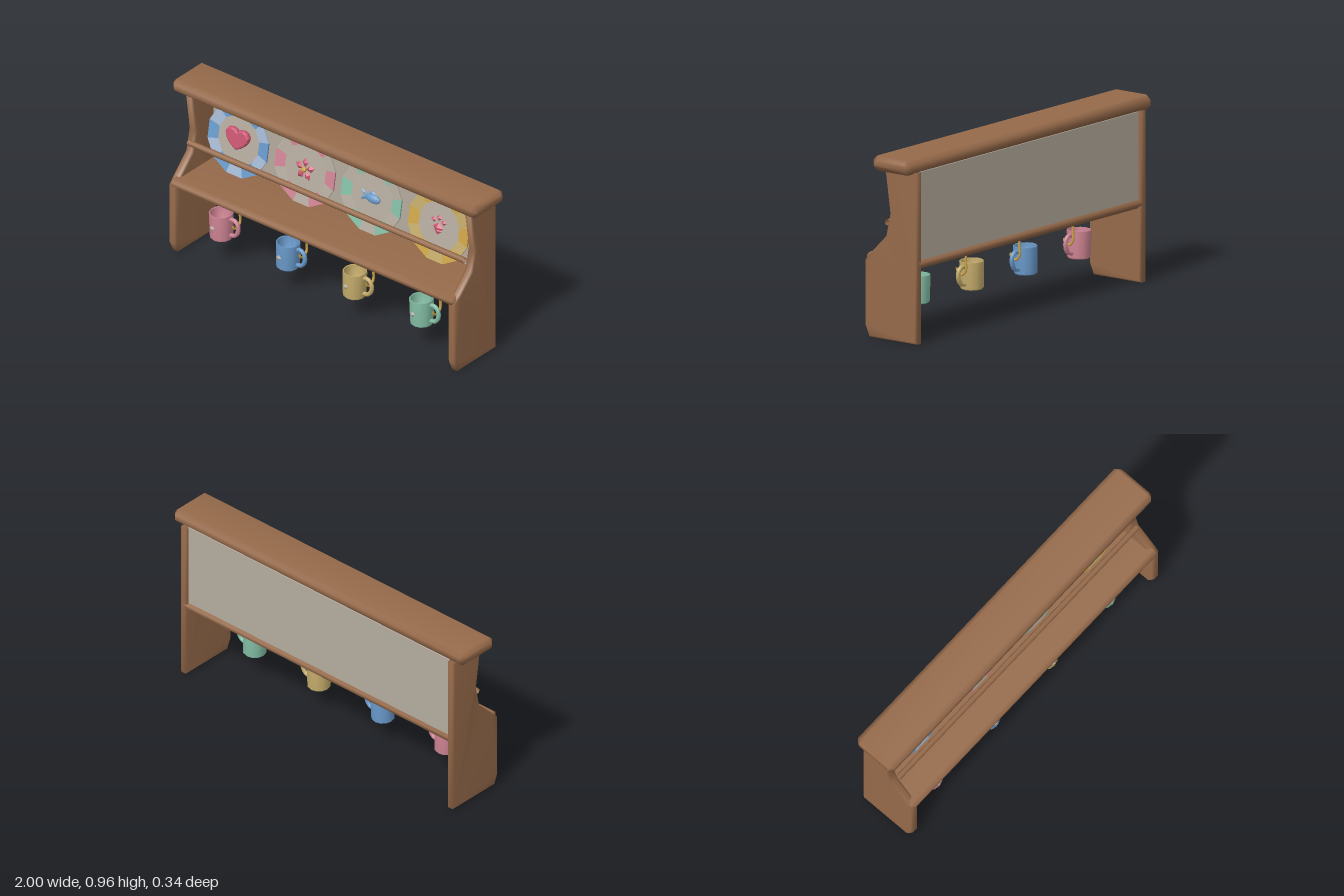
import * as THREE from 'three';
import { mergeVertices } from 'three/addons/utils/BufferGeometryUtils.js';

const mat = (name, color, extra = {}) => {
  const m = new THREE.MeshStandardMaterial({ color, ...extra });
  m.name = name;
  return m;
};

export function createModel() {
  const wood = mat('wood', 0x966a4a, { side: THREE.DoubleSide });
  const cream = mat('cream', 0xb5ac9f);
  const blue = mat('blue', 0x6a9bcd);
  const paleBlue = mat('pale blue', 0xa6bbd6);
  const pink = mat('pink', 0xd08494);
  const green = mat('green', 0x84bfa6);
  const gold = mat('gold', 0xcda548);
  const tan = mat('tan', 0xc6ad6c);
  const rose = mat('rose', 0xcb5672);

  const root = new THREE.Group();
  root.name = 'plateRack';
  const group = (parent, name, x = 0, y = 0, z = 0) => {
    const g = new THREE.Group();
    g.name = name;
    g.position.set(x, y, z);
    parent.add(g);
    return g;
  };
  const add = (parent, name, geo, material, x = 0, y = 0, z = 0) => {
    const m = new THREE.Mesh(geo, material);
    m.name = name;
    m.position.set(x, y, z);
    parent.add(m);
    return m;
  };

  // Smooth, area-weighted normals soften the chamfers
  const soften = (geo) => {
    geo.deleteAttribute('normal');
    geo.deleteAttribute('uv');
    const g = mergeVertices(geo, 1e-4);
    g.computeVertexNormals();
    return g;
  };
  // Outline in (z, y), extruded along x with chamfered edges
  const slab = (points, width, bevel) => {
    const shape = new THREE.Shape(points.map(([z, y]) => new THREE.Vector2(z, y)));
    const geo = new THREE.ExtrudeGeometry(shape, {
      depth: width - 2 * bevel, bevelEnabled: true, bevelSize: bevel,
      bevelThickness: bevel, bevelOffset: -bevel, bevelSegments: 1,
    });
    geo.translate(0, 0, -(width / 2 - bevel));
    geo.rotateY(-Math.PI / 2);
    return soften(geo);
  };
  const octagon = (z0, z1, y0, y1, cz, cy) => [
    [z0 + cz, y0], [z1 - cz, y0], [z1, y0 + cy], [z1, y1 - cy],
    [z1 - cz, y1], [z0 + cz, y1], [z0, y1 - cy], [z0, y0 + cy],
  ];

  // Frame
  add(root, 'topBoard', slab(octagon(-0.17, 0.08, 0.885, 0.965, 0.027, 0.024), 2, 0.022), wood);
  add(root, 'shelf', slab(octagon(-0.17, 0.17, 0.385, 0.44, 0.022, 0.018), 1.87, 0.016), wood);
  const sideOutline = [
    [-0.17, 0], [0.14, 0], [0.166, 0.06], [0.166, 0.4], [0.125, 0.445],
    [0.03, 0.54], [0.004, 0.66], [0.036, 0.893], [-0.17, 0.893],
  ];
  for (const s of [-1, 1]) {
    add(root, s > 0 ? 'leftSide' : 'rightSide', slab(sideOutline, 0.05, 0.01), wood, s * 0.92);
  }
  add(root, 'backPanel', new THREE.BoxGeometry(1.8, 0.46, 0.02), cream, 0, 0.662, -0.148);
  const rail = new THREE.CylinderGeometry(0.016, 0.016, 1.82, 8, 1, true);
  rail.rotateZ(Math.PI / 2);
  add(root, 'plateRail', rail, wood, 0, 0.605, 0.045);

  // Plates: a twelve-sided dish with a rim of alternating painted panels
  const lathe = (pts, seg, start = 0, len = Math.PI * 2) => {
    const geo = new THREE.LatheGeometry(pts.map(([r, y]) => new THREE.Vector2(r, y)), seg, start, len)
      .toNonIndexed();
    geo.computeVertexNormals();
    return geo;
  };
  const step = Math.PI / 6;
  const makePlate = (name, x, colorA, colorB) => {
    const plate = group(root, name, x, 0.668, -0.055);
    plate.rotation.x = -0.17;
    const body = lathe([[0, -0.012], [0.13, -0.012], [0.2, 0], [0.2, 0.006], [0.135, 0], [0, 0]], 12);
    body.rotateX(Math.PI / 2).rotateZ(step * 0.5);
    add(plate, 'dish', body, cream);
    for (let i = 0; i < 12; i++) {
      const panel = lathe([[0.2, -0.001], [0.201, 0.008], [0.135, 0.002]], 1, (i - 0.5) * step, step);
      panel.rotateX(Math.PI / 2).rotateZ(Math.PI / 2);
      add(plate, 'rimPanel', panel, i % 2 ? colorB : colorA);
    }
    return group(plate, 'emblem', 0, 0, 0.008);
  };
  const gem = (parent, name, material, x, y, sx, sy, sz, turn = 0) => {
    const geo = new THREE.OctahedronGeometry(1);
    geo.scale(sx, sy, sz);
    add(parent, name, geo, material, x, y, 0).rotation.z = turn;
  };

  // Heart emblem
  const heartPlate = makePlate('heartPlate', -0.66, blue, paleBlue);
  const h = new THREE.Shape();
  h.moveTo(0, -0.044);
  h.bezierCurveTo(-0.03, -0.03, -0.068, 0.0, -0.066, 0.03);
  h.bezierCurveTo(-0.06, 0.06, -0.015, 0.06, 0, 0.034);
  h.bezierCurveTo(0.015, 0.06, 0.06, 0.06, 0.066, 0.03);
  h.bezierCurveTo(0.068, 0.0, 0.03, -0.03, 0, -0.044);
  add(heartPlate, 'heart', new THREE.ExtrudeGeometry(h, {
    depth: 0.008, bevelEnabled: true, bevelSize: 0.01, bevelThickness: 0.012,
    bevelSegments: 2, curveSegments: 4,
  }), rose, 0, 0.006, 0);

  // Flower emblem
  const flowerPlate = makePlate('flowerPlate', -0.22, pink, cream);
  for (let i = 0; i < 5; i++) {
    const a = Math.PI / 2 + (i * Math.PI * 2) / 5;
    gem(flowerPlate, 'petal', rose, Math.cos(a) * 0.038, Math.sin(a) * 0.038, 0.028, 0.02, 0.014, a);
  }
  add(flowerPlate, 'flowerCentre', new THREE.IcosahedronGeometry(0.017), gold, 0, 0, 0.008);

  // Fish emblem
  const fishPlate = makePlate('fishPlate', 0.217, green, cream);
  const fishBody = new THREE.SphereGeometry(1, 8, 6);
  fishBody.rotateZ(Math.PI / 2).scale(0.05, 0.027, 0.016);
  add(fishPlate, 'fishBody', fishBody, blue, 0.014, 0, 0.004);
  for (const s of [-1, 1]) gem(fishPlate, 'tailFin', blue, -0.047, s * 0.014, 0.026, 0.01, 0.008, -s * 0.7);
  gem(fishPlate, 'backFin', blue, 0.008, 0.026, 0.022, 0.011, 0.007, -0.2);
  add(fishPlate, 'fishEye', new THREE.IcosahedronGeometry(0.005), cream, 0.042, 0.006, 0.014);

  // Paw emblem
  const pawPlate = makePlate('pawPlate', 0.66, gold, tan);
  gem(pawPlate, 'pawPad', rose, 0, -0.006, 0.036, 0.027, 0.014);
  gem(pawPlate, 'pawPad', rose, 0, -0.024, 0.024, 0.022, 0.012);
  for (const [x, y] of [[-0.033, 0.03], [0, 0.047], [0.033, 0.03]]) {
    gem(pawPlate, 'pawToe', rose, x, y, 0.017, 0.017, 0.012);
  }

  // Mugs hanging from hooks below the shelf
  const curve = (pts) => new THREE.CatmullRomCurve3(pts.map((p) => new THREE.Vector3(...p)));
  const hookPath = curve([
    [0, 0.19, -0.035], [0, 0.1, -0.035], [0, 0.045, -0.035], [0, 0.022, -0.012],
    [0, 0.03, 0.016], [0, 0.055, 0.022],
  ]);
  const handlePath = curve([
    [0.055, 0.05, 0], [0.085, 0.053, 0], [0.108, 0.035, 0],
    [0.11, -0.005, 0], [0.09, -0.035, 0], [0.055, -0.042, 0],
  ]);
  const mugProfile = [
    [0, -0.074], [0.054, -0.074], [0.061, -0.066], [0.064, 0.07], [0.061, 0.074],
    [0.055, 0.07], [0.052, -0.06], [0, -0.06],
  ].map(([r, y]) => new THREE.Vector2(r, y));
  [
    [-0.682, 0.212, pink, 'pinkMug', 0.02], [-0.243, 0.207, blue, 'blueMug', -0.02],
    [0.197, 0.206, tan, 'tanMug', -0.02], [0.638, 0.212, green, 'greenMug', 0.02],
  ].forEach(([x, y, material, name, tilt]) => {
    const mug = group(root, name, x, y, 0.06);
    mug.rotation.z = tilt;
    add(mug, 'cup', new THREE.LatheGeometry(mugProfile, 12), material);
    add(mug, 'handle', new THREE.TubeGeometry(handlePath, 10, 0.012, 6), material);
    const stud = new THREE.OctahedronGeometry(0.017);
    stud.scale(1, 1, 0.5);
    add(mug, 'stud', stud, cream, -0.008, 0.002, 0.064);
    add(root, 'hook', new THREE.TubeGeometry(hookPath, 16, 0.007, 6), gold, x + 0.094, 0.2, 0.06);
  });

  return root;
}
